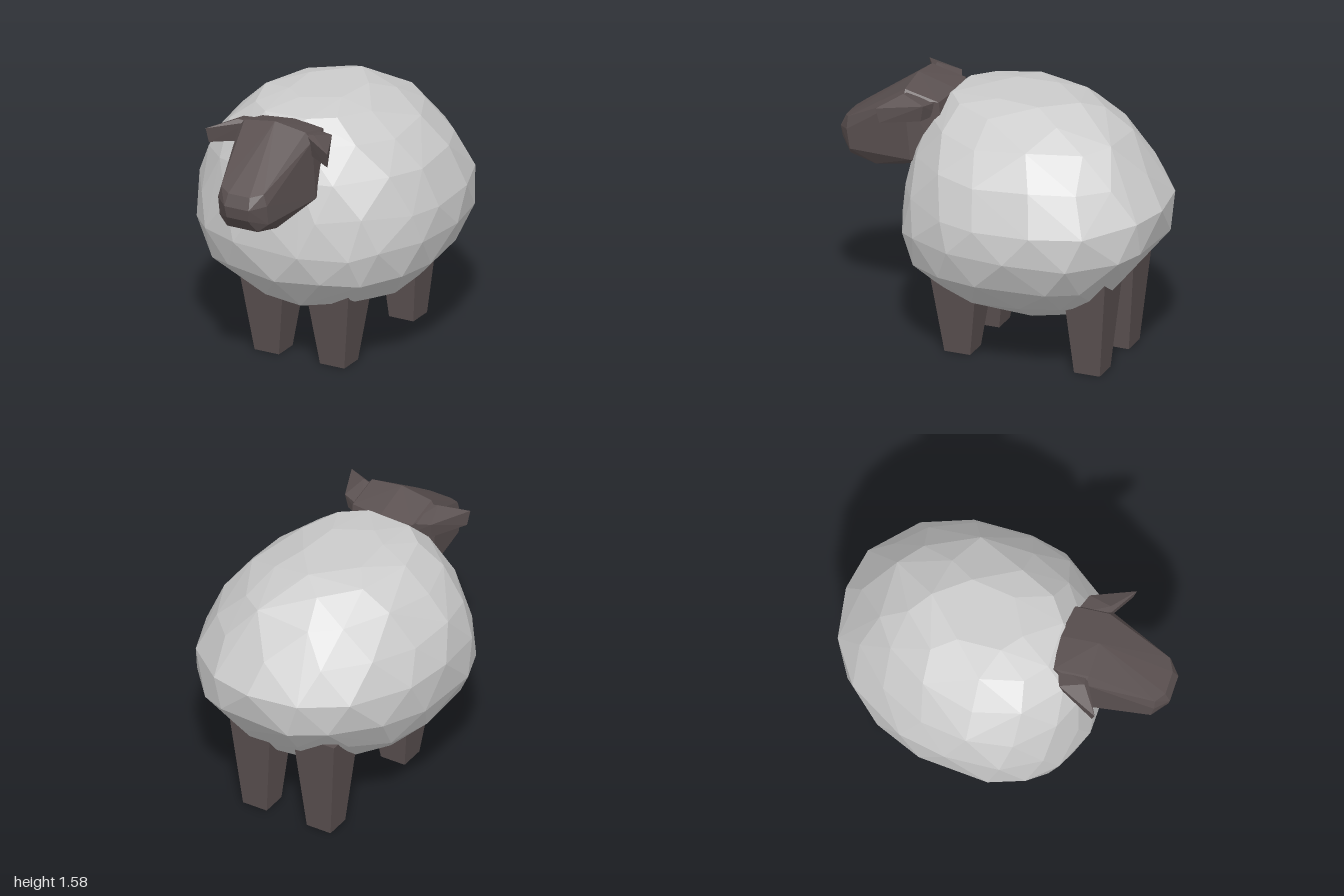
import * as THREE from 'three';
import { ConvexGeometry } from 'three/addons/geometries/ConvexGeometry.js';

const woolMat = new THREE.MeshStandardMaterial({ color: 0xcccccc, flatShading: true });
const skinMat = new THREE.MeshStandardMaterial({ color: 0x5a5050, flatShading: true });

// Small seeded generator, returns -1..1
function seeded(seed) {
  let s = seed;
  return () => {
    s = (s * 16807) % 2147483647;
    return (s / 2147483647) * 2 - 1;
  };
}

// Faceted solid around a list of points
function hull(name, points, material) {
  const mesh = new THREE.Mesh(new ConvexGeometry(points), material);
  mesh.name = name;
  return mesh;
}

const vectors = (list, side = 1) => list.map(([x, y, z]) => new THREE.Vector3(x * side, y, z));

// Circle coordinate, squared off when the power is below 1
const bend = (v, power) => Math.sign(v) * Math.abs(v) ** power;

// Wool: egg-shaped rings of slightly irregular points, leaning a little to one side
function makeWool() {
  // height, half width, front z, back z, points in ring, roundness
  const rings = [
    [0.28, 0.2, 0.06, -0.47, 7, 1],
    [0.41, 0.48, 0.4, -0.68, 12, 0.97],
    [0.59, 0.66, 0.56, -0.83, 15, 0.92],
    [0.78, 0.73, 0.6, -0.98, 16, 0.9],
    [0.99, 0.73, 0.57, -1.0, 16, 0.9],
    [1.21, 0.655, 0.53, -0.89, 15, 0.95],
    [1.39, 0.52, 0.46, -0.76, 13, 1],
    [1.5, 0.36, 0.34, -0.59, 10, 1],
    [1.555, 0.2, 0.12, -0.46, 6, 1],
  ];
  const rand = seeded(4711);
  const points = [];
  rings.forEach(([y, w, front, back, n, power], r) => {
    const end = r === 0 || r === rings.length - 1;
    const mid = front - (front - back) * 0.43;
    for (let i = 0; i < n; i++) {
      const a = ((i + (r % 2) * 0.5 + rand() * 0.2) / n) * Math.PI * 2;
      const c = bend(Math.cos(a), power);
      const z = mid + c * (c > 0 ? front - mid : mid - back);
      const lean = -0.07 * (z + 0.1) - 0.05 * (y - 0.85);
      points.push(new THREE.Vector3(bend(Math.sin(a), power) * w + lean, y + (end ? 0 : rand() * 0.025), z));
    }
  });
  return hull('wool', points, woolMat);
}

// Head: faceted wedge, half of the corners listed, the rest mirrored
function makeHead() {
  const half = [
    [0, 1.58, 0.55], [0.2, 1.55, 0.55], [0.24, 1.5, 0.54],      // brow
    [0.24, 1.13, 0.5], [0.14, 1.07, 0.5],                       // jaw
    [0, 1.51, 0.31], [0.2, 1.5, 0.34], [0.21, 1.16, 0.3], [0.13, 1.12, 0.3], // back of head
    [0.14, 1.29, 0.93], [0.07, 1.27, 0.97],                     // nose bridge
    [0.16, 1.22, 0.93], [0.08, 1.2, 1.0], [0.07, 1.13, 0.99],   // muzzle
    [0.16, 1.1, 0.91], [0.1, 1.05, 0.93], [0.13, 1.02, 0.76],   // chin
  ];
  return hull('head', [...vectors(half), ...vectors(half, -1)], skinMat);
}

// Ear: flat wedge sweeping forward to its tip
function makeEar(side) {
  const corners = [
    [0.18, 1.53, 0.53], [0.25, 1.54, 0.54], [0.4, 1.49, 0.65], [0.29, 1.5, 0.4], [0.16, 1.49, 0.35],
    [0.2, 1.41, 0.52], [0.39, 1.4, 0.63], [0.28, 1.4, 0.42], [0.16, 1.41, 0.36],
  ];
  return hull(side > 0 ? 'leftEar' : 'rightEar', vectors(corners, side), skinMat);
}

// Leg: square post, wider where it enters the wool
function makeLeg(name, x, z, topHalf) {
  const height = 0.65, footHalf = 0.08;
  const geo = new THREE.BoxGeometry(2, height, 2);
  const p = geo.attributes.position;
  for (let i = 0; i < p.count; i++) {
    const h = p.getY(i) > 0 ? topHalf : footHalf;
    p.setX(i, p.getX(i) * h);
    p.setZ(i, p.getZ(i) * h);
  }
  geo.computeVertexNormals();
  const leg = new THREE.Mesh(geo, skinMat);
  leg.name = name;
  leg.position.set(x, height / 2, z);
  return leg;
}

export function createModel() {
  const sheep = new THREE.Group();
  sheep.name = 'sheep';
  sheep.add(makeWool(), makeHead());
  for (const side of [1, -1]) {
    const label = side > 0 ? 'Left' : 'Right';
    sheep.add(makeEar(side));
    sheep.add(makeLeg('front' + label + 'Leg', side * 0.215, 0.185, 0.165));
    sheep.add(makeLeg('back' + label + 'Leg', side * 0.215, -0.62, 0.14));
  }
  return sheep;
}
